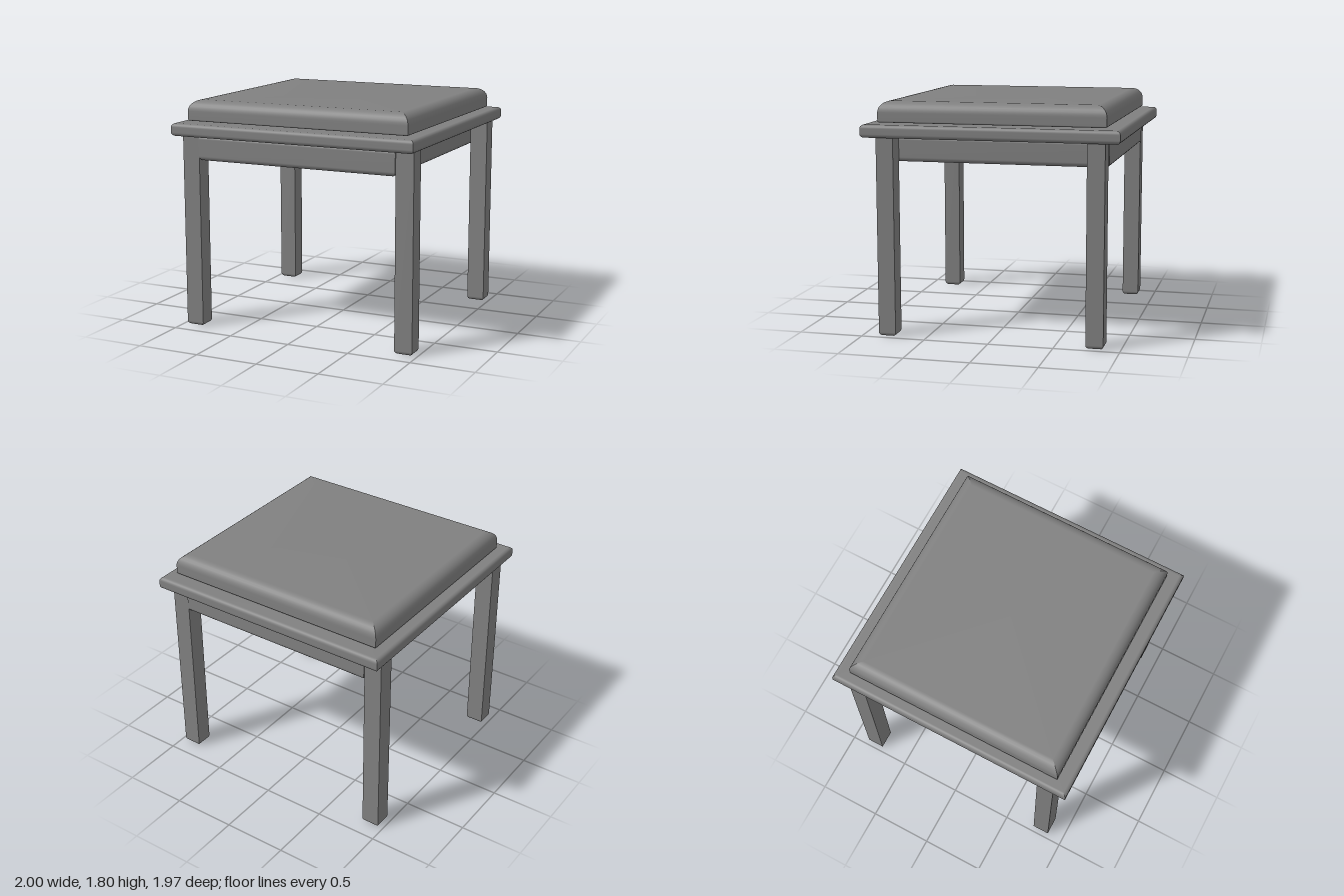
import * as THREE from 'three';

const material = new THREE.MeshStandardMaterial({ color: 0x808080 });

// Box with rounded top and bottom edges and sharp mitred corners, standing on y = 0.
// An optional hole of holeW x holeD goes straight through from top to bottom.
function mitredSlab(w, h, d, rTop, rBottom, holeW = 0, holeD = 0) {
  const steps = 7;
  // Profile of [inset, y] from the bottom centre to the top centre; Infinity marks the hole edge.
  const profile = [[Infinity, 0]];
  for (let i = 0; i <= steps; i++) {
    const a = (i / steps) * Math.PI / 2;
    profile.push([rBottom * (1 - Math.sin(a)), rBottom * (1 - Math.cos(a))]);
  }
  for (let i = 0; i <= steps; i++) {
    const a = (i / steps) * Math.PI / 2;
    profile.push([rTop * (1 - Math.cos(a)), h - rTop * (1 - Math.sin(a))]);
  }
  profile.push([Infinity, h]);
  // Inner wall, with its own points so its edges stay sharp
  if (holeW > 0) profile.push([Infinity, h], [Infinity, 0]);

  const corners = [[-1, 1], [1, 1], [1, -1], [-1, -1]];
  const positions = [], index = [];
  // Each side keeps its own vertices, so it is smooth in profile and creased at the mitre.
  for (let side = 0; side < 4; side++) {
    const start = positions.length / 3;
    profile.forEach(([inset, y], j) => {
      const x = inset === Infinity ? holeW / 2 : w / 2 - inset;
      const z = inset === Infinity ? holeD / 2 : d / 2 - inset;
      for (const [sx, sz] of [corners[side], corners[(side + 1) % 4]]) {
        positions.push(sx * x, y, sz * z);
      }
      if (j === 0) return;
      const a = start + (j - 1) * 2;
      index.push(a, a + 1, a + 3, a, a + 3, a + 2);
    });
  }
  const geometry = new THREE.BufferGeometry();
  geometry.setAttribute('position', new THREE.Float32BufferAttribute(positions, 3));
  geometry.setIndex(index);
  geometry.computeVertexNormals();
  return geometry;
}

export function createModel() {
  const model = new THREE.Group();
  model.name = 'stool';

  function add(name, geometry, x, y, z) {
    const mesh = new THREE.Mesh(geometry, material);
    mesh.name = name;
    mesh.position.set(x, y, z);
    model.add(mesh);
  }

  // Seat
  add('cushion', mitredSlab(1.826, 0.16, 1.746, 0.085, 0.012), 0, 1.64, 0);
  add('seatBoard', mitredSlab(2, 0.1, 1.97, 0.03, 0.03), 0, 1.53, 0);

  // Open frame under the seat, set between the left and right legs
  add('apronFrame', mitredSlab(1.64, 0.195, 1.758, 0.03, 0.035, 1.244, 1.45), 0, 1.336, 0);

  // Legs, rounded at the foot
  const leg = mitredSlab(0.142, 1.535, 0.134, 0.004, 0.03);
  for (const [side, sx] of [['Right', -1], ['Left', 1]]) {
    for (const [end, sz] of [['front', 1], ['back', -1]]) {
      add(`${end}${side}Leg`, leg, sx * 0.892, 0, sz * 0.805);
    }
  }

  return model;
}
